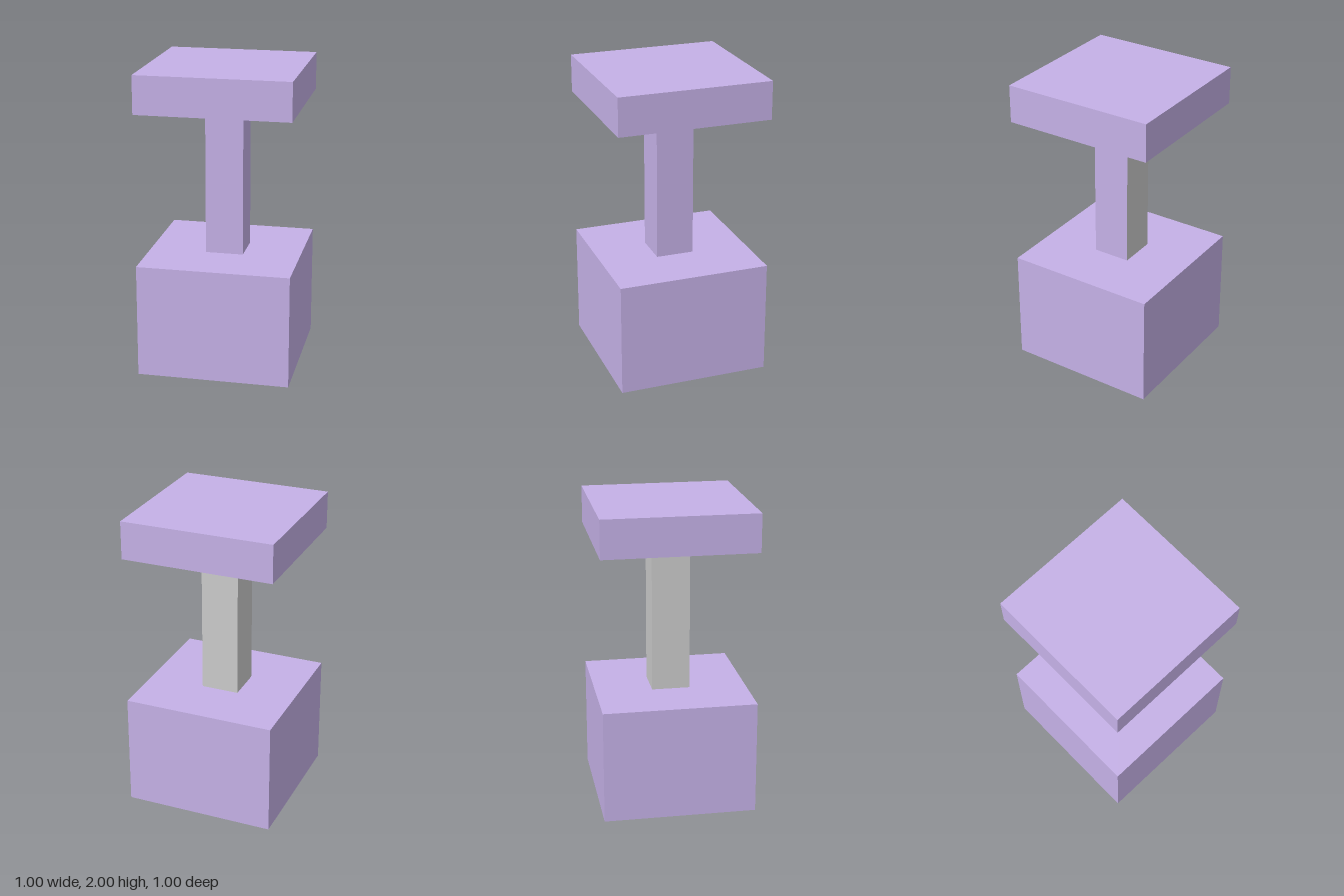
import * as THREE from 'three';

export function createModel() {
  const group = new THREE.Group();
  const purple = new THREE.MeshStandardMaterial({ color: 0xc5b1e7 });
  const grey = new THREE.MeshStandardMaterial({ color: 0xcccccc });

  // Square block standing on height y
  const block = (name, width, height, y, material) => {
    const mesh = new THREE.Mesh(new THREE.BoxGeometry(width, height, width), material);
    mesh.name = name;
    mesh.position.y = y + height / 2;
    group.add(mesh);
  };

  block('base', 1, 0.75, 0, purple);
  // Post: +x and front sides coloured, -x and back sides grey
  block('post', 0.25, 1, 0.75, [purple, grey, purple, purple, purple, grey]);
  block('topSlab', 1, 0.25, 1.75, purple);

  return group;
}
